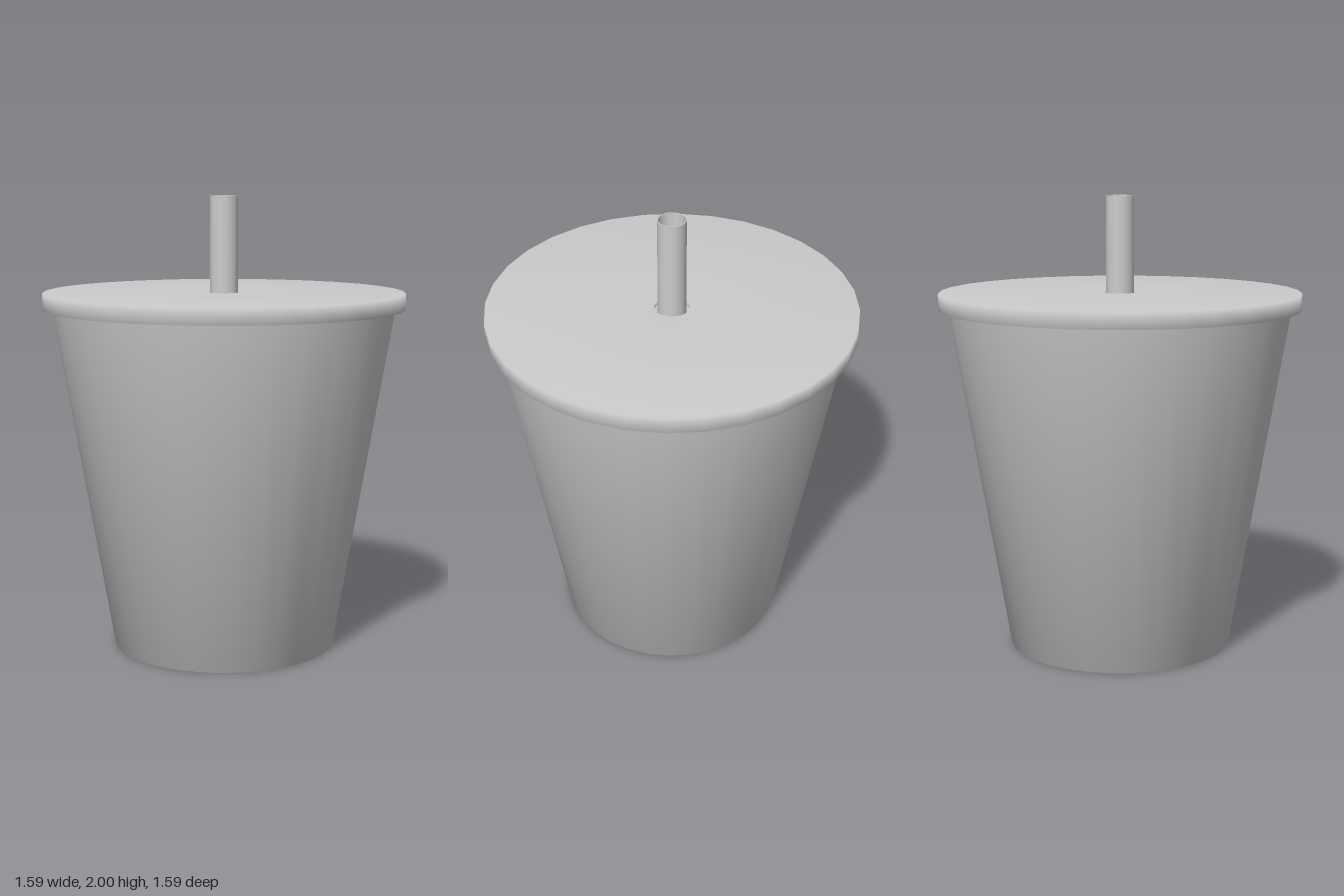
import * as THREE from 'three';
import { toCreasedNormals } from 'three/addons/utils/BufferGeometryUtils.js';

const SEGMENTS = 32;

// Closed profile of [radius, height] points, turned around the y axis
function turn(points) {
  return new THREE.LatheGeometry(points.map(([r, y]) => new THREE.Vector2(r, y)), SEGMENTS);
}

export function createModel() {
  const group = new THREE.Group();
  const material = new THREE.MeshStandardMaterial({ color: 0xcccccc });

  function add(name, geometry) {
    const mesh = new THREE.Mesh(geometry, material);
    mesh.name = name;
    group.add(mesh);
  }

  // Tapered cup with a thin wall and a floor
  add('cup', turn([
    [0, 0], [0.492, 0], [0.758, 1.55],
    [0.742, 1.55], [0.478, 0.02], [0, 0.02],
  ]));

  // Flat lid with a short skirt and a round hole for the straw
  add('lid', turn([
    [0.077, 1.56], [0.77, 1.56], [0.77, 1.51], [0.795, 1.51],
    [0.795, 1.58], [0.077, 1.58], [0.077, 1.56],
  ]));

  // Hollow straw reaching down into the cup
  add('straw', toCreasedNormals(turn([
    [0, 0.05], [0.061, 0.05], [0.061, 2],
    [0.057, 2], [0.057, 0.06], [0, 0.06],
  ]), 0.6));

  return group;
}
